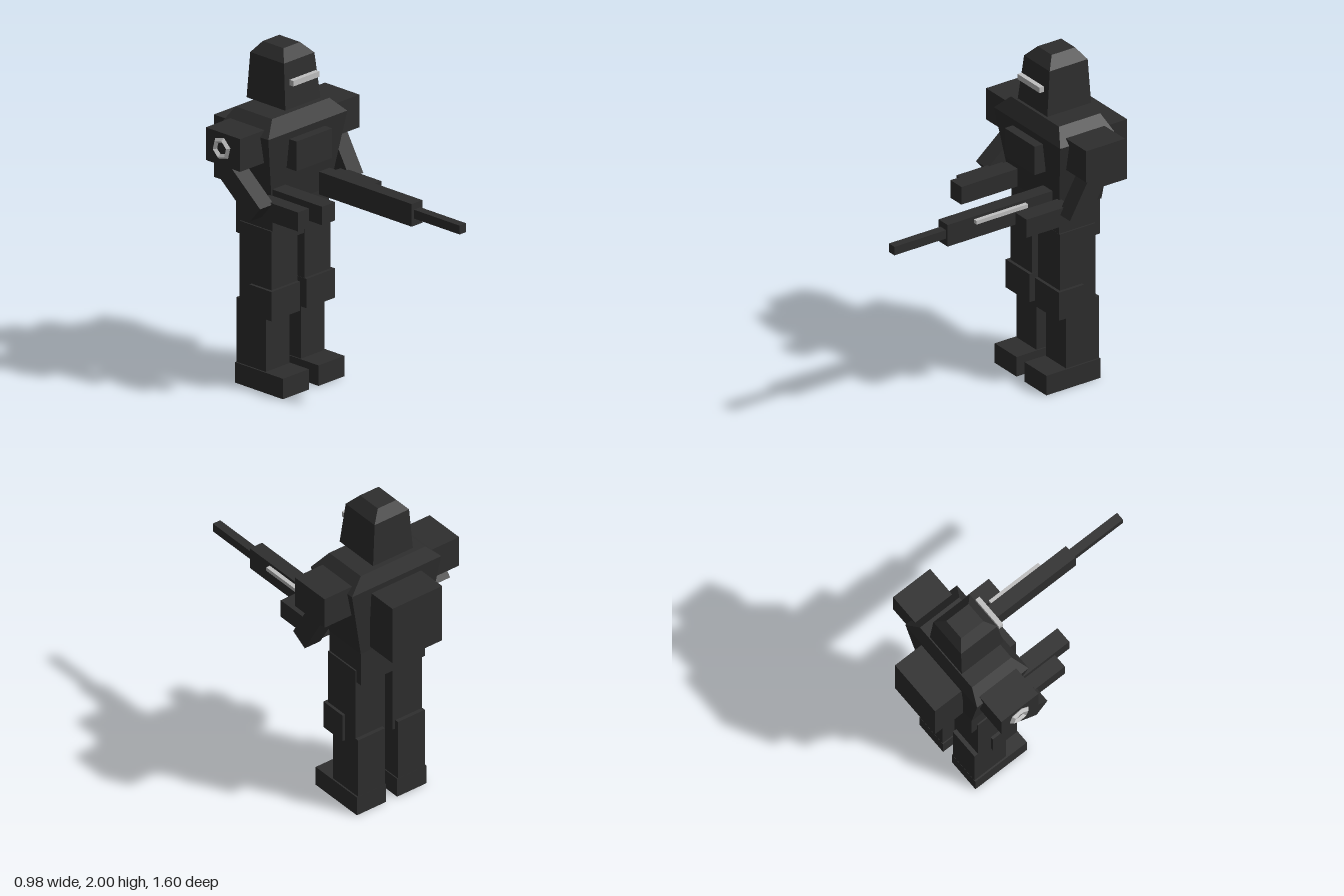
import * as THREE from 'three';

const dark = new THREE.MeshStandardMaterial({ color: 0x2e2e2e });
dark.name = 'charcoal armour';
const light = new THREE.MeshStandardMaterial({ color: 0xc0c0c0 });
light.name = 'pale grey trim';

// Box given by its extents on each axis
function box(name, [x0, x1], [y0, y1], [z0, z1], material = dark) {
  const mesh = new THREE.Mesh(new THREE.BoxGeometry(x1 - x0, y1 - y0, z1 - z0), material);
  mesh.position.set((x0 + x1) / 2, (y0 + y1) / 2, (z0 + z1) / 2);
  mesh.name = name;
  return mesh;
}

// Faceted solid through rectangular levels [y, x0, x1, z0, z1], bottom to top
function loft(name, levels) {
  const rings = levels.map(([y, x0, x1, z0, z1]) =>
    [[x0, y, z1], [x1, y, z1], [x1, y, z0], [x0, y, z0]]);
  const pos = [];
  const quad = (a, b, c, d) => pos.push(...a, ...b, ...c, ...a, ...c, ...d);
  for (let i = 0; i < rings.length - 1; i++) {
    for (let j = 0; j < 4; j++) {
      const k = (j + 1) % 4;
      quad(rings[i][j], rings[i][k], rings[i + 1][k], rings[i + 1][j]);
    }
  }
  const top = rings[rings.length - 1];
  quad(top[0], top[1], top[2], top[3]);
  quad(rings[0][3], rings[0][2], rings[0][1], rings[0][0]);
  const geo = new THREE.BufferGeometry();
  geo.setAttribute('position', new THREE.Float32BufferAttribute(pos, 3));
  geo.computeVertexNormals();
  const mesh = new THREE.Mesh(geo, dark);
  mesh.name = name;
  return mesh;
}

// Upper arm leaning back from its lower end at (x, y, z)
function upperArm(name, x, y, z, degrees) {
  const length = 0.36;
  const geo = new THREE.BoxGeometry(0.11, length, 0.12);
  geo.translate(0, length / 2, 0);
  const mesh = new THREE.Mesh(geo, dark);
  mesh.position.set(x, y, z);
  mesh.rotation.x = -THREE.MathUtils.degToRad(degrees);
  mesh.name = name;
  return mesh;
}

export function createModel() {
  const model = new THREE.Group();
  model.name = 'armouredTrooper';
  const mid = 0.008; // body centre line

  // Head and visor
  model.add(loft('helmet', [
    [1.67, -0.133, 0.149, -0.58, -0.28],
    [1.937, -0.114, 0.13, -0.57, -0.31],
    [2.0, -0.06, 0.072, -0.525, -0.365],
  ]));
  model.add(box('visor', [-0.097, 0.112], [1.811, 1.844], [-0.283, -0.254], light));

  // Trunk
  model.add(loft('torso', [
    [1.11, -0.225, 0.24, -0.585, -0.295],
    [1.553, -0.308, 0.324, -0.613, -0.243],
    [1.64, -0.222, 0.236, -0.58, -0.297],
  ]));
  model.add(box('chestPlate', [-0.135, 0.15], [1.333, 1.51], [-0.3, -0.192]));
  model.add(box('backpack', [-0.167, 0.185], [1.145, 1.517], [-0.8, -0.6]));
  model.add(box('pelvis', [-0.219, 0.235], [0.89, 1.11], [-0.58, -0.298]));

  // Legs and shoulder pads, mirrored about the body centre line
  for (const [side, s] of [['left', 1], ['right', -1]]) {
    const span = (a, b) => (s > 0 ? [mid + a, mid + b] : [mid - b, mid - a]);
    const leg = new THREE.Group();
    leg.name = side + 'Leg';
    leg.add(
      box('thigh', span(0.028, 0.236), [0.45, 0.97], [-0.542, -0.297]),
      box('kneePad', span(0.026, 0.254), [0.445, 0.62], [-0.45, -0.278]),
      box('shin', span(0.046, 0.236), [0.1, 0.508], [-0.567, -0.34]),
      box('foot', span(0.039, 0.246), [0, 0.122], [-0.568, -0.198]),
    );
    model.add(leg, box(side + 'ShoulderPad', span(0.26, 0.477), [1.392, 1.587], [-0.57, -0.305]));
  }

  // Six-sided ring on the right shoulder
  const ringGeo = new THREE.TorusGeometry(0.053, 0.017, 4, 6).toNonIndexed();
  ringGeo.rotateZ(THREE.MathUtils.degToRad(15));
  ringGeo.rotateY(-Math.PI / 2);
  ringGeo.computeVertexNormals();
  const ring = new THREE.Mesh(ringGeo, light);
  ring.position.set(-0.473, 1.495, -0.445);
  ring.name = 'shoulderRing';
  model.add(ring);

  // Arms
  model.add(
    upperArm('leftUpperArm', 0.382, 1.124, -0.28, 30),
    upperArm('rightUpperArm', -0.364, 1.137, -0.238, 50),
    box('leftForearm', [0.236, 0.344], [1.08, 1.193], [-0.3, 0.002]),
    box('rightForearm', [-0.326, -0.218], [1.08, 1.193], [-0.3, 0.002]),
    box('rightHand', [-0.238, -0.134], [1.12, 1.23], [-0.28, 0.105]),
  );

  // Rifle held along the left side
  const rifle = new THREE.Group();
  rifle.name = 'rifle';
  rifle.add(
    box('rifleBody', [0.125, 0.211], [1.102, 1.237], [-0.27, 0.447]),
    box('rifleBarrel', [0.143, 0.195], [1.146, 1.199], [0.44, 0.8]),
    box('rifleStrip', [0.211, 0.237], [1.197, 1.22], [-0.085, 0.268], light),
  );
  model.add(rifle);

  return model;
}
